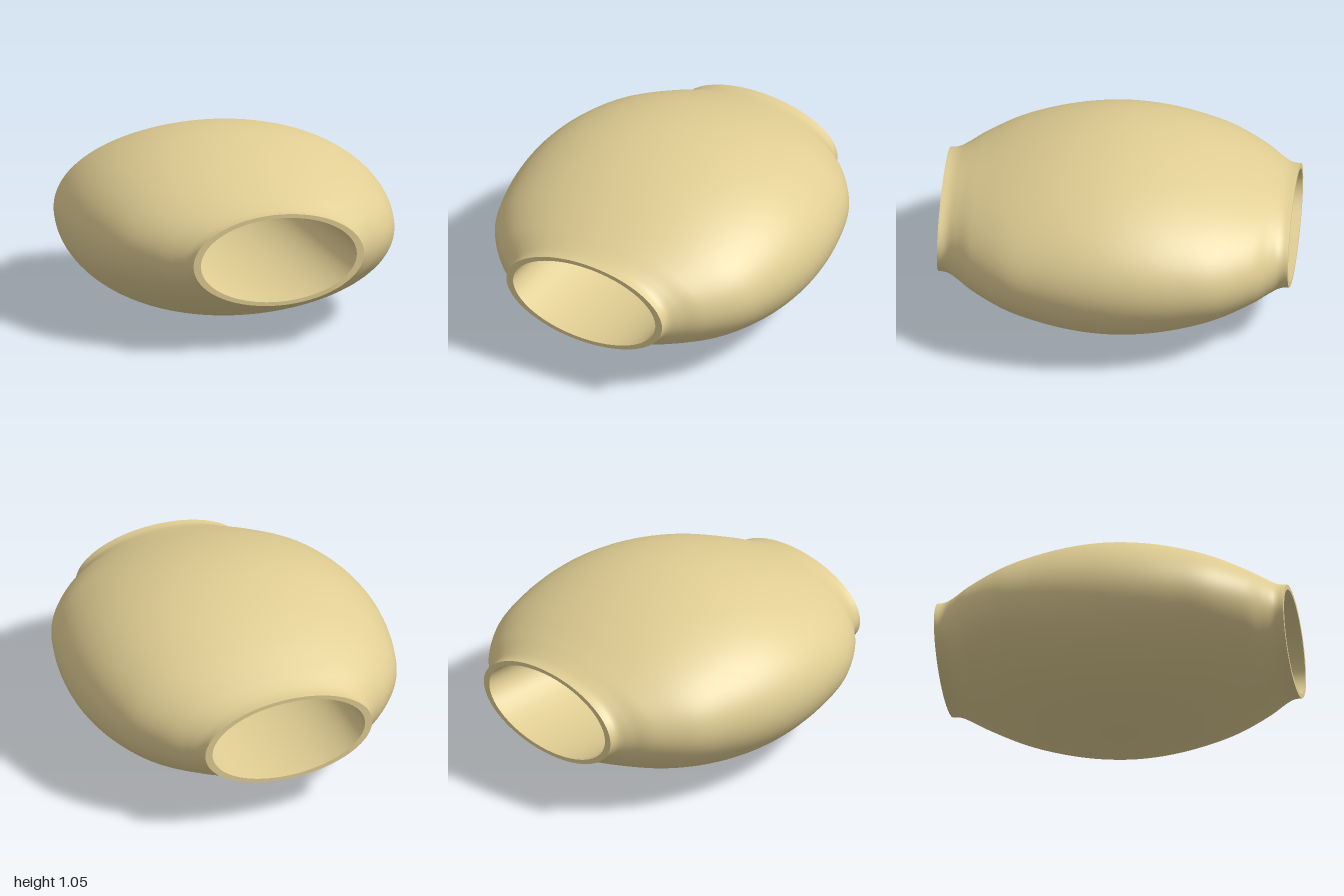
import * as THREE from 'three';

const SIDES = 96;

// Joins elliptical cross-sections [z, half width, half height] into a smooth surface
function loft(sections) {
  const positions = [], index = [];
  for (const [z, rx, ry] of sections) {
    for (let j = 0; j < SIDES; j++) {
      const a = (j / SIDES) * Math.PI * 2;
      positions.push(rx * Math.cos(a), ry * Math.sin(a), z);
    }
  }
  for (let i = 0; i < sections.length - 1; i++) {
    for (let j = 0; j < SIDES; j++) {
      const k = (j + 1) % SIDES;
      const a = i * SIDES + j, b = i * SIDES + k;
      const c = b + SIDES, d = a + SIDES;
      index.push(a, b, c, a, c, d);
    }
  }
  const geometry = new THREE.BufferGeometry();
  geometry.setAttribute('position', new THREE.Float32BufferAttribute(positions, 3));
  geometry.setIndex(index);
  geometry.computeVertexNormals();
  return geometry;
}

export function createModel() {
  const group = new THREE.Group();
  group.name = 'bead';
  const material = new THREE.MeshStandardMaterial({ color: 0xe0cd93 });

  const add = (name, sections) => {
    const mesh = new THREE.Mesh(loft(sections), material);
    mesh.name = name;
    mesh.position.y = 0.525;
    group.add(mesh);
  };

  // Half of the outer profile, from the middle to the front collar
  const half = [
    [0, 0.935, 0.525], [0.2, 0.922, 0.511], [0.4, 0.883, 0.472],
    [0.6, 0.815, 0.41], [0.8, 0.672, 0.33], [0.89, 0.573, 0.292],
    [0.94, 0.525, 0.274], [0.965, 0.514, 0.269], [1, 0.51, 0.267],
  ];
  const mirrored = half.slice(1).reverse().map(([z, rx, ry]) => [-z, rx, ry]);
  const curve = new THREE.CatmullRomCurve3(
    [...mirrored, ...half].map((p) => new THREE.Vector3(...p)), false, 'centripetal');

  // Swollen body with a short collar at each end
  add('body', curve.getPoints(128).map((p) => p.toArray()));

  // Flat rims around the openings
  const outer = [0.51, 0.267], inner = [0.466, 0.245];
  add('frontRim', [[1, ...outer], [1, ...inner]]);
  add('backRim', [[-1, ...inner], [-1, ...outer]]);

  // Straight oval hole through the length
  add('hole', [[1, ...inner], [-1, ...inner]]);

  return group;
}
